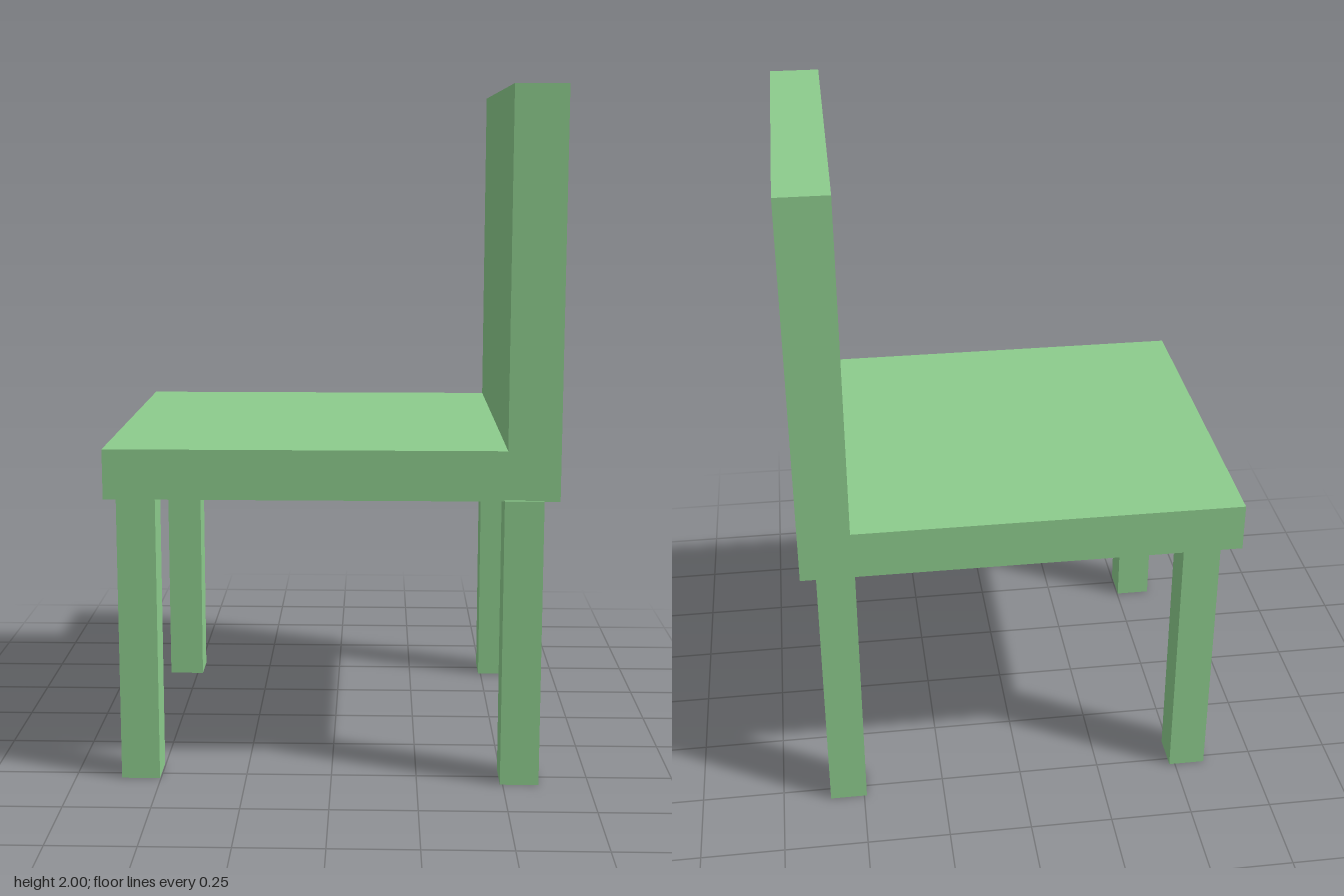
import * as THREE from 'three';

export function createModel() {
  const model = new THREE.Group();
  model.name = 'chair';
  const material = new THREE.MeshStandardMaterial({ color: 0x8ccb8c, flatShading: true });

  const add = (name, geometry, x, y, z) => {
    const mesh = new THREE.Mesh(geometry, material);
    mesh.name = name;
    mesh.position.set(x, y, z);
    model.add(mesh);
  };

  // Seat and backrest: one L-shaped slab, backrest on the +x side
  const profile = new THREE.Shape([
    [-0.65, 0.84], [0.65, 0.84], [0.65, 2], [0.5, 2], [0.5, 0.985], [-0.65, 0.985],
  ].map(([x, y]) => new THREE.Vector2(x, y)));
  const body = new THREE.ExtrudeGeometry(profile, { depth: 1.11, bevelEnabled: false });
  add('seatAndBackrest', body, 0, 0, -0.56);

  // Four square legs, set slightly unevenly
  const height = 0.843;
  const leg = new THREE.BoxGeometry(0.112, height, 0.112);
  const legs = [
    ['frontLeftLeg', 0.548, 0.504],
    ['frontRightLeg', -0.559, 0.481],
    ['backLeftLeg', 0.548, -0.489],
    ['backRightLeg', -0.538, -0.471],
  ];
  for (const [name, x, z] of legs) add(name, leg, x, height / 2, z);

  return model;
}
